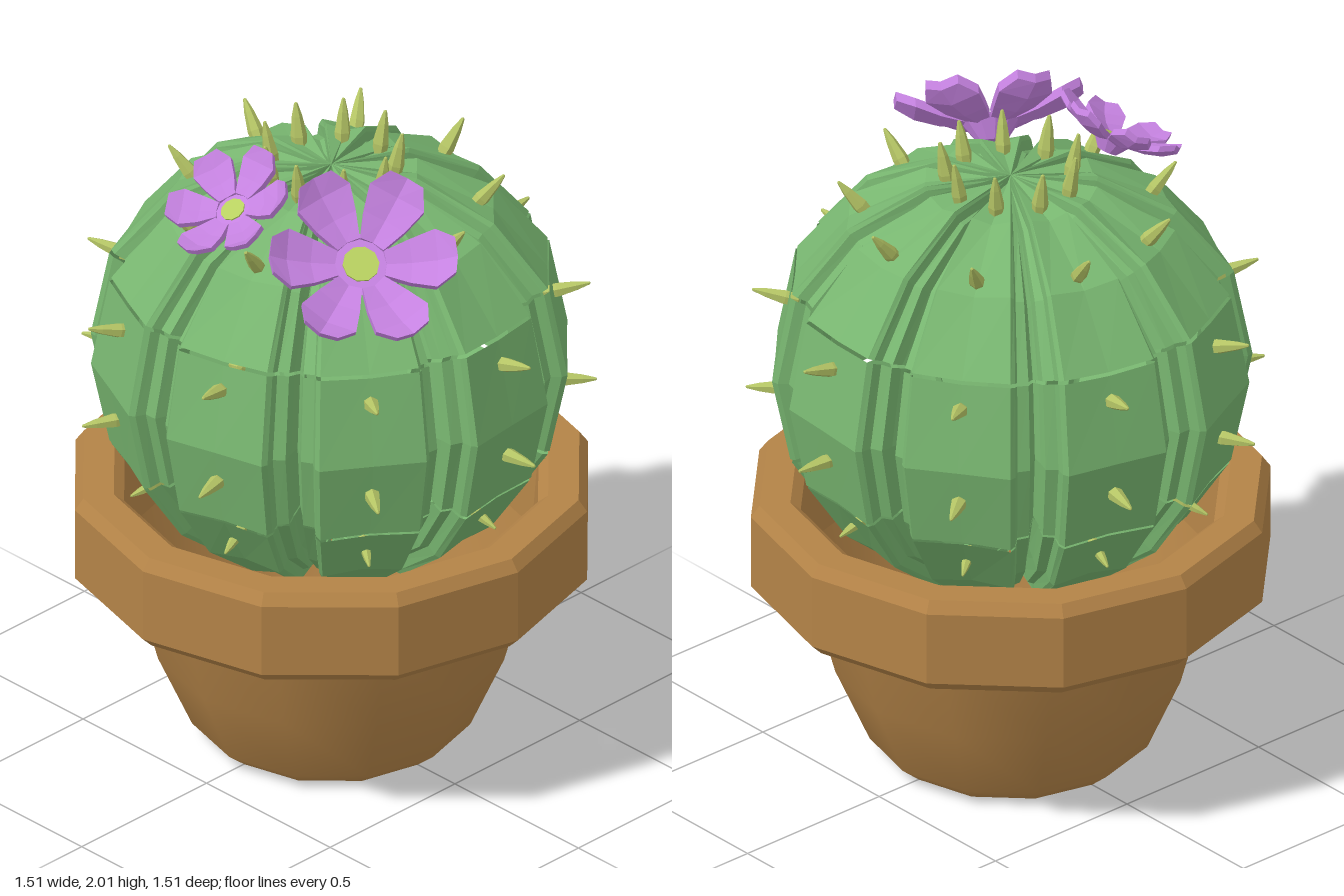
import * as THREE from 'three';

const material = (name, color, extra = {}) => {
  const m = new THREE.MeshStandardMaterial({ color, ...extra });
  m.name = name;
  return m;
};
const rad = THREE.MathUtils.degToRad;
const UP = new THREE.Vector3(0, 1, 0);

export function createModel() {
  const model = new THREE.Group();
  model.name = 'pottedCactus';

  const clay = material('clay', 0xb38347, { side: THREE.DoubleSide });
  const clayFlat = clay.clone();
  clayFlat.flatShading = true;
  const green = material('cactusGreen', 0x78b670, { side: THREE.DoubleSide, flatShading: true });
  const spineMat = material('spineGreen', 0xb3c364, { flatShading: true });
  const purple = material('petalPurple', 0xc582e0, { flatShading: true });
  const lime = material('flowerCentre', 0xb8d060, { flatShading: true });

  const add = (parent, name, geometry, mat) => {
    const mesh = new THREE.Mesh(geometry, mat);
    mesh.name = name;
    parent.add(mesh);
    return mesh;
  };
  const lathe = (points, sides) =>
    new THREE.LatheGeometry(points.map(([r, y]) => new THREE.Vector2(r, y)), sides);

  // Pot: smooth tapering wall, flat base, faceted twelve-sided rim
  const pot = new THREE.Group();
  pot.name = 'pot';
  model.add(pot);
  add(pot, 'potWall', lathe([[0.35, 0], [0.41, 0.05], [0.51, 0.28], [0.585, 0.56]], 12), clay);
  const base = add(pot, 'potBase', new THREE.CircleGeometry(0.35, 12), clayFlat);
  base.rotation.x = Math.PI / 2;
  add(pot, 'potRim', lathe([
    [0.59, 0.55], [0.72, 0.55], [0.755, 0.585], [0.755, 0.81], [0.73, 0.845],
    [0.64, 0.845], [0.61, 0.82], [0.59, 0.55],
  ], 12), clayFlat);

  // Cactus rib: raised panel, stepped shoulders and a groove at each side
  const CY = 1.235;
  const half = [[0, 0.972], [13, 1], [14.2, 0.98], [14.8, 0.935], [18, 0.925], [18.8, 0.87], [20, 0.82]];
  const section = [...half.slice(1).reverse().map(([a, s]) => [-a, s]), ...half];
  // Three stacked bands with a hairline seam between them
  const bands = [
    [[0.02, 0.6], [0.33, 0.64], [0.51, 0.78], [0.632, 0.966]],
    [[0.637, 0.976], [0.69, 1.235], [0.637, 1.505]],
    [[0.632, 1.515], [0.475, 1.71], [0.25, 1.83], [0, 1.845]],
  ];
  const bandGeometry = (rows) => {
    const pos = [], idx = [], n = section.length;
    rows.forEach(([r, y]) => section.forEach(([a, s]) => {
      pos.push(r * s * Math.sin(rad(a)), CY + (y - CY) * s, r * s * Math.cos(rad(a)));
    }));
    for (let i = 0; i < rows.length - 1; i++) {
      for (let j = 0; j < n - 1; j++) {
        const a = i * n + j, b = a + 1, c = b + n, d = a + n;
        idx.push(a, b, c, a, c, d);
      }
    }
    const g = new THREE.BufferGeometry();
    g.setAttribute('position', new THREE.Float32BufferAttribute(pos, 3));
    g.setIndex(idx);
    g.computeVertexNormals();
    return g;
  };
  const bandGeometries = bands.map(bandGeometry);

  // Spines: [radius, height, elevation in degrees, size]
  const spineGeometry = lathe(
    [[0, -0.02], [0.02, -0.015], [0.024, 0.025], [0.015, 0.085], [0.005, 0.125], [0, 0.128]], 6);
  const spines = [
    [0.52, 0.90, -20, 0.75], [0.635, 1.13, 0, 0.95], [0.62, 1.42, 14, 0.95],
    [0.415, 1.715, 50, 0.95], [0.18, 1.82, 80, 1],
  ];
  for (let k = 0; k < 9; k++) {
    const rib = new THREE.Group();
    rib.name = `rib${k + 1}`;
    rib.rotation.y = rad(175.5 - 40 * k);
    model.add(rib);
    ['lowerBand', 'middleBand', 'upperBand'].forEach((name, i) => add(rib, name, bandGeometries[i], green));
    spines.forEach(([r, y, elevation, size], i) => {
      if (k === 3 && i === 3) return; // a flower grows here
      const spine = add(rib, 'spine', spineGeometry, spineMat);
      spine.position.set(0, y, r);
      spine.rotation.x = rad(90 - elevation);
      spine.scale.setScalar(size);
    });
  }

  // Petal: a thin block widened and curled upwards along its length
  const petalRows = [[0.28, 0.14, 0], [0.55, 0.25, 0.04], [0.82, 0.33, 0.13], [1.02, 0.2, 0.27]];
  const petalGeometry = new THREE.BoxGeometry(2, 0.1, 3, 2, 1, 3);
  const p = petalGeometry.attributes.position;
  for (let i = 0; i < p.count; i++) {
    const [r, w, lift] = petalRows[Math.round(p.getZ(i) + 1.5)];
    const u = p.getX(i);
    p.setXYZ(i, u * w, p.getY(i) + lift + Math.abs(u) * w * 0.25, r - Math.abs(u) * 0.03);
  }
  petalGeometry.computeVertexNormals();

  const flower = (name, position, normal, size, turn) => {
    const group = new THREE.Group();
    group.name = name;
    group.position.set(...position);
    group.quaternion.setFromUnitVectors(UP, new THREE.Vector3(...normal).normalize());
    group.scale.setScalar(size);
    model.add(group);
    const cup = add(group, 'flowerCup', new THREE.CylinderGeometry(0.36, 0.16, 0.26, 12), purple);
    cup.position.y = -0.09;
    const centre = add(group, 'flowerCentre', new THREE.CylinderGeometry(0.2, 0.2, 0.03, 10), lime);
    centre.position.y = 0.05;
    for (let i = 0; i < 6; i++) {
      add(group, 'petal', petalGeometry, purple).rotation.y = rad(turn + i * 60);
    }
  };
  flower('smallFlower', [-0.02, 1.835, 0.37], [-0.04, 0.83, 0.5], 0.185, 0);
  flower('largeFlower', [0.37, 1.77, 0.25], [0.53, 0.77, 0.36], 0.265, 20);

  return model;
}
